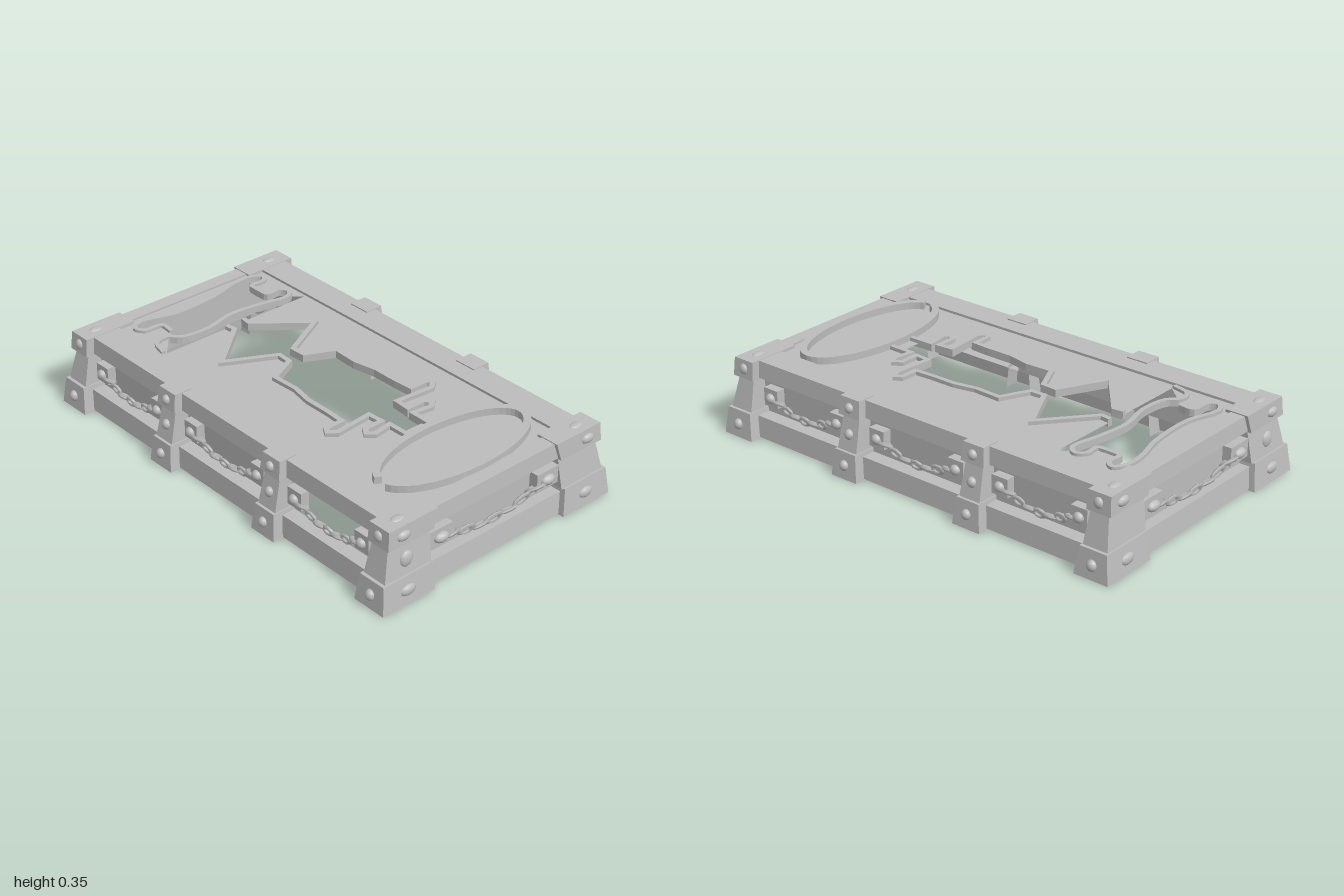
import * as THREE from 'three';

const stone = new THREE.MeshStandardMaterial({ color: 0xbcbcbc, side: THREE.DoubleSide });
stone.name = 'grey stone';

function add(parent, name, geometry) {
  const mesh = new THREE.Mesh(geometry, stone);
  mesh.name = name;
  parent.add(mesh);
  return mesh;
}

// Tapered block: bottom and top are [x0, x1, z0, z1], mirrored by sx and sz
function block(parent, name, y0, y1, bottom, top = bottom, sx = 1, sz = 1) {
  const geo = new THREE.BoxGeometry(1, 1, 1);
  const p = geo.attributes.position;
  for (let i = 0; i < p.count; i++) {
    const up = p.getY(i) > 0;
    const r = up ? top : bottom;
    const ix = p.getX(i) * sx > 0 ? 1 : 0;
    const iz = p.getZ(i) * sz > 0 ? 3 : 2;
    p.setXYZ(i, r[ix] * sx, up ? y1 : y0, r[iz] * sz);
  }
  const flat = geo.toNonIndexed();
  flat.computeVertexNormals();
  add(parent, name, flat);
}

// Open shell through levels [y, outline of x, z points], mirrored by sx and sz
function shell(parent, name, levels, sx = 1, sz = 1) {
  const rows = levels.map(([y, pts]) => {
    const row = pts.map(([x, z]) => [x * sx, y, z * sz]);
    return sx * sz < 0 ? row.reverse() : row;
  });
  const out = [];
  for (let j = 0; j < rows.length - 1; j++) {
    for (let i = 0; i < rows[j].length - 1; i++) {
      const [a, b, c, d] = [rows[j][i], rows[j][i + 1], rows[j + 1][i + 1], rows[j + 1][i]];
      out.push(...a, ...b, ...c, ...a, ...c, ...d);
    }
  }
  const geo = new THREE.BufferGeometry();
  geo.setAttribute('position', new THREE.Float32BufferAttribute(out, 3));
  geo.computeVertexNormals();
  add(parent, name, geo);
}

// Domed rivet as a squashed ball
function rivet(parent, x, y, z, rx, ry, rz) {
  const mesh = add(parent, 'rivet', new THREE.SphereGeometry(1, 10, 8));
  mesh.position.set(x, y, z);
  mesh.scale.set(rx, ry, rz);
}

// Raised rim of constant width following a path of [x, z] points
const toVec = ([x, z]) => new THREE.Vector2(x, -z);
function rim(parent, name, path, width, y0, y1) {
  const left = [], right = [];
  path.forEach((pt, i) => {
    const p = toVec(pt);
    const a = toVec(path[Math.max(i - 1, 0)]);
    const b = toVec(path[Math.min(i + 1, path.length - 1)]);
    const d0 = (i > 0 ? p.clone().sub(a) : b.clone().sub(p)).normalize();
    const d1 = (i < path.length - 1 ? b.clone().sub(p) : d0.clone()).normalize();
    const n0 = new THREE.Vector2(-d0.y, d0.x);
    const n = n0.clone().add(new THREE.Vector2(-d1.y, d1.x)).normalize();
    n.multiplyScalar(width / 2 / Math.max(n.dot(n0), 0.5));
    left.push(p.clone().add(n));
    right.push(p.clone().sub(n));
  });
  const shape = new THREE.Shape([...left, ...right.reverse()]);
  const geo = new THREE.ExtrudeGeometry(shape, { depth: y1 - y0, bevelEnabled: false });
  add(parent, name, geo.rotateX(-Math.PI / 2).translate(0, y0, 0));
}

// Hanging chain with its two mounts, facing +z around the local origin
function hangingChain(halfSpan, mountHalf) {
  const g = new THREE.Group();
  g.name = 'hangingChain';
  const links = 7, inner = halfSpan - mountHalf * 0.4;
  const step = (2 * inner) / links;
  for (let i = 0; i < links; i++) {
    const x = -inner + step * (i + 0.5);
    const t = x / inner;
    const link = add(g, 'chainLink', new THREE.TorusGeometry(0.018, 0.0075, 4, 8));
    link.position.set(x, 0.138 + 0.048 * t * t, 0.024);
    link.scale.set((step * 0.68) / 0.0255, 1, 1.1);
    link.rotation.set(i % 2 ? 0.25 : 1.1, 0, Math.atan((0.096 * t) / inner));
  }
  for (const s of [-1, 1]) {
    const x = s * halfSpan;
    block(g, 'chainMount', 0.15, 0.228, [x - mountHalf, x + mountHalf, -0.01, 0.03]);
    rivet(g, x, 0.187, 0.03, mountHalf * 0.62, 0.022, 0.022);
  }
  return g;
}

export function createModel() {
  const model = new THREE.Group();
  model.name = 'chainedTomb';
  const wallX = 0.91, wallZ = 0.486;

  // Corner posts: hollow footing and tapered shaft under a cap
  const corner = (x0, x1, z0, z1) => [[x0, wallZ], [x0, z1], [x1, z1], [x1, z0], [wallX, z0]];
  for (const sx of [-1, 1]) for (const sz of [-1, 1]) {
    const post = new THREE.Group();
    post.name = 'cornerPost';
    model.add(post);
    shell(post, 'cornerFootingAndShaft', [
      [0.003, corner(0.84, 0.995, 0.345, 0.605)],
      [0.12, corner(0.855, 0.98, 0.36, 0.592)],
      [0.12, corner(0.86, 0.972, 0.348, 0.578)],
      [0.26, corner(0.87, 0.95, 0.338, 0.545)],
    ], sx, sz);
    block(post, 'cornerCap', 0.255, 0.335, [0.86, 0.97, 0.337, 0.562], [0.862, 0.965, 0.312, 0.555], sx, sz);
    rivet(post, sx * 0.918, 0.06, sz * 0.597, 0.022, 0.024, 0.022);
    rivet(post, sx * 0.912, 0.295, sz * 0.555, 0.022, 0.024, 0.018);
    rivet(post, sx * 0.985, 0.06, sz * 0.475, 0.015, 0.024, 0.038);
    rivet(post, sx * 0.965, 0.293, sz * 0.485, 0.016, 0.021, 0.034);
    rivet(post, sx * 0.915, 0.333, sz * 0.47, 0.02, 0.008, 0.034);
    if (sz > 0) rivet(post, sx * 0.96, 0.18, 0.465, 0.016, 0.035, 0.033);
  }

  // Middle posts on the long sides
  const front = (half, z) => [[-half, wallZ], [-half, z], [half, z], [half, wallZ]];
  for (const x of [-0.322, 0.315]) for (const sz of [-1, 1]) {
    const post = new THREE.Group();
    post.name = 'middlePost';
    post.position.x = x;
    model.add(post);
    shell(post, 'middleFootingAndShaft', [
      [0.003, front(0.067, 0.602)], [0.118, front(0.055, 0.59)],
      [0.118, front(0.05, 0.578)], [0.262, front(0.042, 0.545)],
    ], 1, sz);
    block(post, 'middleCap', 0.26, 0.338, [-0.056, 0.056, 0.47, 0.562], [-0.05, 0.05, 0.47, 0.552], 1, sz);
    [[0.062, 0.597], [0.185, 0.562], [0.297, 0.556]].forEach(([y, z]) =>
      rivet(post, 0, y, sz * z, 0.021, 0.022, 0.02));
  }

  // Rails and end panels: thin ledged rails below, solid rails above
  const alongX = (z) => [[-0.87, z], [0.87, z]];
  const alongZ = (x) => [[x, 0.4], [x, -0.4]];
  for (const s of [-1, 1]) {
    shell(model, 'longBottomRail', [[0.008, alongX(0.556)], [0.1, alongX(0.548)], [0.1, alongX(wallZ)]], 1, s);
    shell(model, 'endBottomRail', [[0.008, alongZ(0.968)], [0.1, alongZ(0.957)], [0.1, alongZ(wallX)]], s, 1);
    shell(model, 'endPanel', [[0.1, [[wallX, wallZ], [wallX, -wallZ]]], [0.254, [[wallX, wallZ], [wallX, -wallZ]]]], s, 1);
    block(model, 'longTopRail', 0.26, 0.333, [-0.88, 0.88, 0.39, 0.525], [-0.88, 0.88, 0.39, 0.518], 1, s);
    block(model, 'endTopRail', 0.26, 0.33, [0.885, 0.955, -0.4, 0.4], [0.885, 0.95, -0.4, 0.4], s, 1);
  }

  // Side panels and chains; one front bay is open
  const bays = [[-wallX, -0.322, -0.615], [-0.322, 0.315, -0.005], [0.315, wallX, 0.605]];
  bays.forEach(([x0, x1, mid], i) => {
    for (const s of [-1, 1]) {
      const line = [[x0, wallZ], [x1, wallZ]];
      if (s < 0 || i < 2) shell(model, 'sidePanel', [[0.1, line], [0.262, line]], 1, s);
      const chain = hangingChain(i === 1 ? 0.205 : 0.187, 0.038);
      chain.position.set(mid, 0, s * 0.498);
      chain.rotation.y = s > 0 ? 0 : Math.PI;
      model.add(chain);
    }
  });
  for (const s of [-1, 1]) {
    const chain = hangingChain(0.283, 0.058);
    chain.position.set(s * 0.925, 0, 0);
    chain.rotation.y = (s * Math.PI) / 2;
    model.add(chain);
  }

  // Half outline of the central opening, mirrored across z
  const upper = [
    [-0.575, -0.045], [-0.53, -0.04], [-0.355, -0.25], [-0.245, -0.037], [-0.18, -0.04], [-0.12, -0.165],
    [0, -0.16], [0.1, -0.18], [0.22, -0.18], [0.3, -0.185], [0.302, -0.265], [0.325, -0.28], [0.35, -0.25],
    [0.335, -0.075], [0.402, -0.07], [0.402, -0.155], [0.43, -0.175], [0.452, -0.15], [0.44, -0.062], [0.56, -0.06],
  ];
  const lower = upper.map(([x, z]) => [x, -z]);

  // Curling outlines of the end opening
  const curve = (pts, n) => new THREE.CatmullRomCurve3(pts.map(([x, z]) => new THREE.Vector3(x, 0, z)))
    .getPoints(n).map((v) => [v.x, v.z]);
  const leftEdge = curve([
    [-0.7, 0.24], [-0.765, 0.24], [-0.775, 0.32], [-0.815, 0.34], [-0.845, 0.29], [-0.805, 0.14],
    [-0.815, -0.08], [-0.85, -0.22], [-0.85, -0.31], [-0.82, -0.355], [-0.785, -0.33], [-0.785, -0.265], [-0.73, -0.258],
  ], 48);
  const rightEdge = curve([
    [-0.73, -0.258], [-0.68, -0.265], [-0.68, -0.325], [-0.645, -0.352], [-0.608, -0.32], [-0.63, -0.18],
    [-0.645, -0.03], [-0.615, 0.11], [-0.63, 0.24], [-0.672, 0.285], [-0.66, 0.345], [-0.58, 0.372],
  ], 44);

  // Thin lid with one connected opening
  const opening = [
    ...leftEdge, [-0.68, -0.265], [-0.68, -0.325], [-0.645, -0.352], [-0.608, -0.335], [-0.572, -0.38],
    ...upper.slice(0, -1), [0.5, -0.06], [0.5, 0.06], ...lower.slice(0, -1).reverse(), [-0.575, 0.36], [-0.672, 0.275],
  ];
  const lid = new THREE.Shape([[-0.89, -0.395], [0.89, -0.395], [0.89, 0.395], [-0.89, 0.395]].map(toVec));
  lid.holes.push(new THREE.Path(opening.map(toVec)));
  add(model, 'lid', new THREE.ShapeGeometry(lid).rotateX(-Math.PI / 2).translate(0, 0.322, 0));

  // Raised rims around the openings
  rim(model, 'upperRim', upper, 0.022, 0.305, 0.338);
  rim(model, 'lowerRim', lower, 0.022, 0.305, 0.338);
  rim(model, 'leftEndRim', leftEdge, 0.02, 0.305, 0.334);
  rim(model, 'rightEndRim', rightEdge, 0.02, 0.305, 0.334);

  // Raised oval ring, broken at the front
  const ring = [];
  for (let i = 0; i <= 48; i++) {
    const a = Math.PI / 2 + 0.14 + (i / 48) * (Math.PI * 2 - 0.28);
    ring.push([0.718 + 0.158 * Math.cos(a), -0.005 + 0.368 * Math.sin(a)]);
  }
  rim(model, 'ovalRing', ring, 0.03, 0.32, 0.353);

  return model;
}
